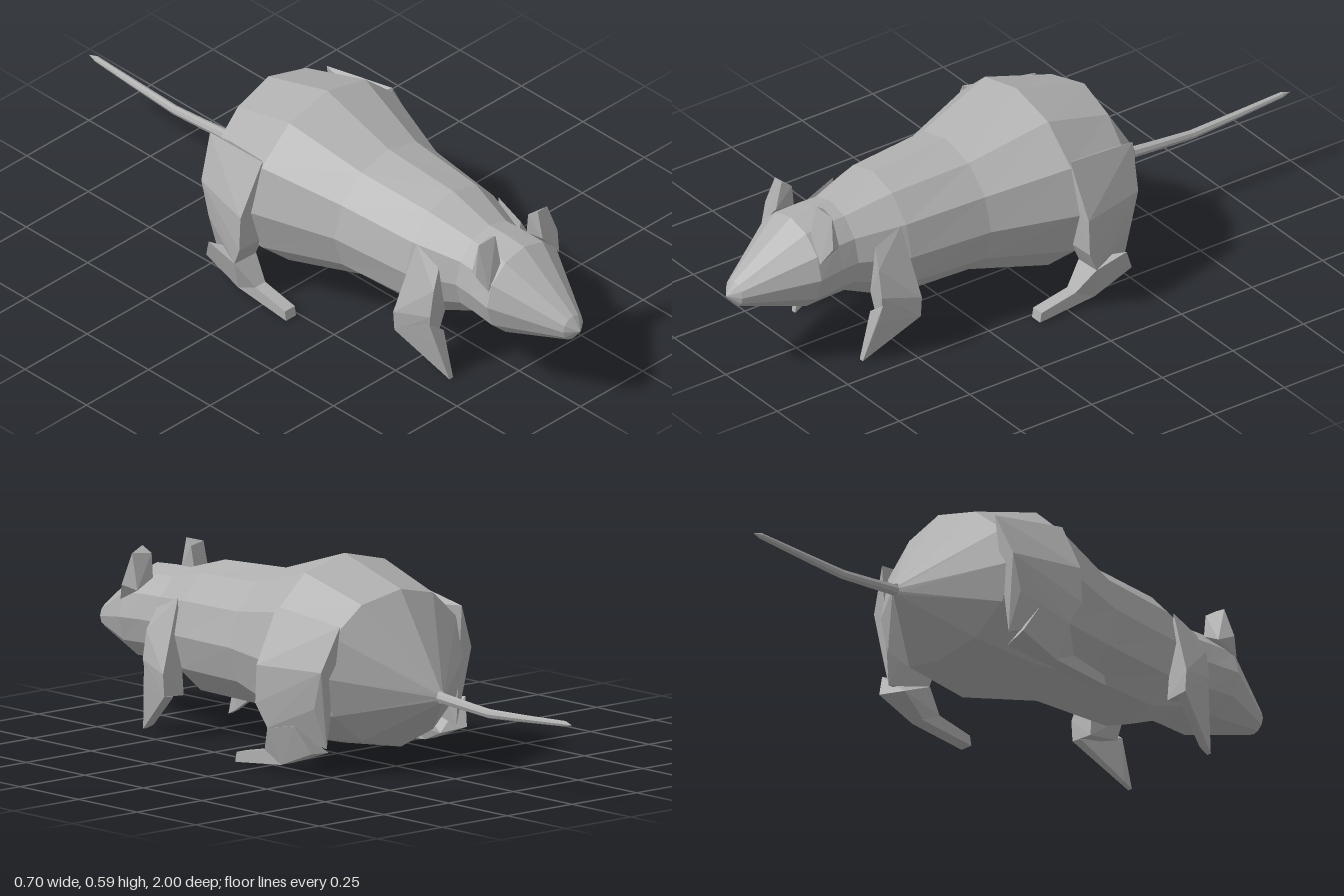
import * as THREE from 'three';
import { ConvexGeometry } from 'three/addons/geometries/ConvexGeometry.js';

const fur = new THREE.MeshStandardMaterial({ color: 0xb0b0b0, flatShading: true });
fur.name = 'grey fur';

// Skin through elliptical rings [z, topY, bottomY, halfWidth, sideShift], front to back
function loft(rings, sides) {
  const pos = [], index = [];
  rings.forEach(([z, top, bottom, w, shift = 0]) => {
    for (let i = 0; i < sides; i++) {
      const a = (i / sides) * Math.PI * 2;
      pos.push(w * Math.sin(a), (top + bottom) / 2 + ((top - bottom) / 2) * Math.cos(a),
        z + shift * Math.abs(Math.sin(a)));
    }
  });
  for (let j = 0; j < rings.length - 1; j++) {
    for (let i = 0; i < sides; i++) {
      const n = (i + 1) % sides;
      const a = j * sides + i, d = j * sides + n, b = a + sides, c = d + sides;
      index.push(a, d, b, d, c, b);
    }
  }
  const g = new THREE.BufferGeometry();
  g.setAttribute('position', new THREE.Float32BufferAttribute(pos, 3));
  g.setIndex(index);
  const flat = g.toNonIndexed();
  flat.computeVertexNormals();
  return flat;
}

// Faceted solid around a few corner points, mirrored by side
const hull = (points, side) =>
  new ConvexGeometry(points.map(([x, y, z]) => new THREE.Vector3(x * side, y, z)));

const pairs = {
  Ear: [[.085, .425, .76], [.085, .51, .74], [.138, .495, .725], [.165, .405, .74],
    [.142, .355, .77], [.076, .49, .71], [.08, .42, .70], [.14, .39, .70]],
  FrontUpperLeg: [[.165, .40, .50], [.165, .36, .59], [.195, .30, .60], [.21, .215, .60],
    [.24, .19, .48], [.235, .125, .48], [.20, .13, .59], [.165, .14, .59], [.14, .20, .59],
    [.16, .12, .48]],
  FrontLowerLeg: [[.235, .125, .48], [.21, .19, .595], [.20, .13, .605], [.16, .15, .605],
    [.20, .12, .48], [.157, 0, .64], [.172, 0, .64], [.158, .015, .61], [.172, .015, .61]],
  Thigh: [[.262, .47, -.03], [.235, .44, -.27], [.345, .31, -.035], [.30, .33, -.03],
    [.35, .20, -.035], [.265, .20, -.03], [.335, .13, -.07], [.25, .125, -.07],
    [.29, .31, -.25], [.29, .20, -.22], [.25, .08, -.23], [.20, .43, -.10]],
  HindLowerLeg: [[.335, .13, -.07], [.247, .125, -.07], [.30, .055, -.02], [.26, .055, -.02],
    [.30, .02, -.09], [.255, .02, -.09], [.215, .06, -.20], [.30, .07, -.22], [.33, .15, -.18]],
  HindFoot: [[.26, 0, .105], [.30, 0, .105], [.26, .03, .10], [.30, .03, .10],
    [.26, .055, -.02], [.30, .055, -.02], [.26, .02, -.09], [.30, .02, -.09]],
};

export function createModel() {
  const model = new THREE.Group();
  model.name = 'rat';
  const add = (name, geometry) => {
    const mesh = new THREE.Mesh(geometry, fur);
    mesh.name = name;
    model.add(mesh);
  };

  // Head with a pointed snout
  add('head', loft([
    [1, .262, .262, 0], [.97, .302, .224, .04], [.77, .444, .165, .15],
    [.69, .45, .165, .14], [.62, .45, .165, .135],
  ], 12));

  // Trunk, widest at the haunches and closing to the tail
  add('body', loft([
    [.63, .45, .165, .135], [.48, .495, .10, .19], [.22, .51, .10, .22],
    [-.03, .59, .036, .307], [-.27, .52, .06, .275, .03], [-.44, .25, .21, .015],
  ], 12));

  // Thin, slightly drooping tail
  add('tail', loft([
    [-.42, .247, .213, .017], [-.54, .235, .205, .015], [-.65, .226, .198, .013],
    [-.80, .231, .209, .012], [-.97, .239, .222, .009], [-1, .23, .23, 0],
  ], 8));

  // Ears and legs on both sides
  for (const [part, points] of Object.entries(pairs)) {
    add('left' + part, hull(points, 1));
    add('right' + part, hull(points, -1));
  }
  return model;
}
